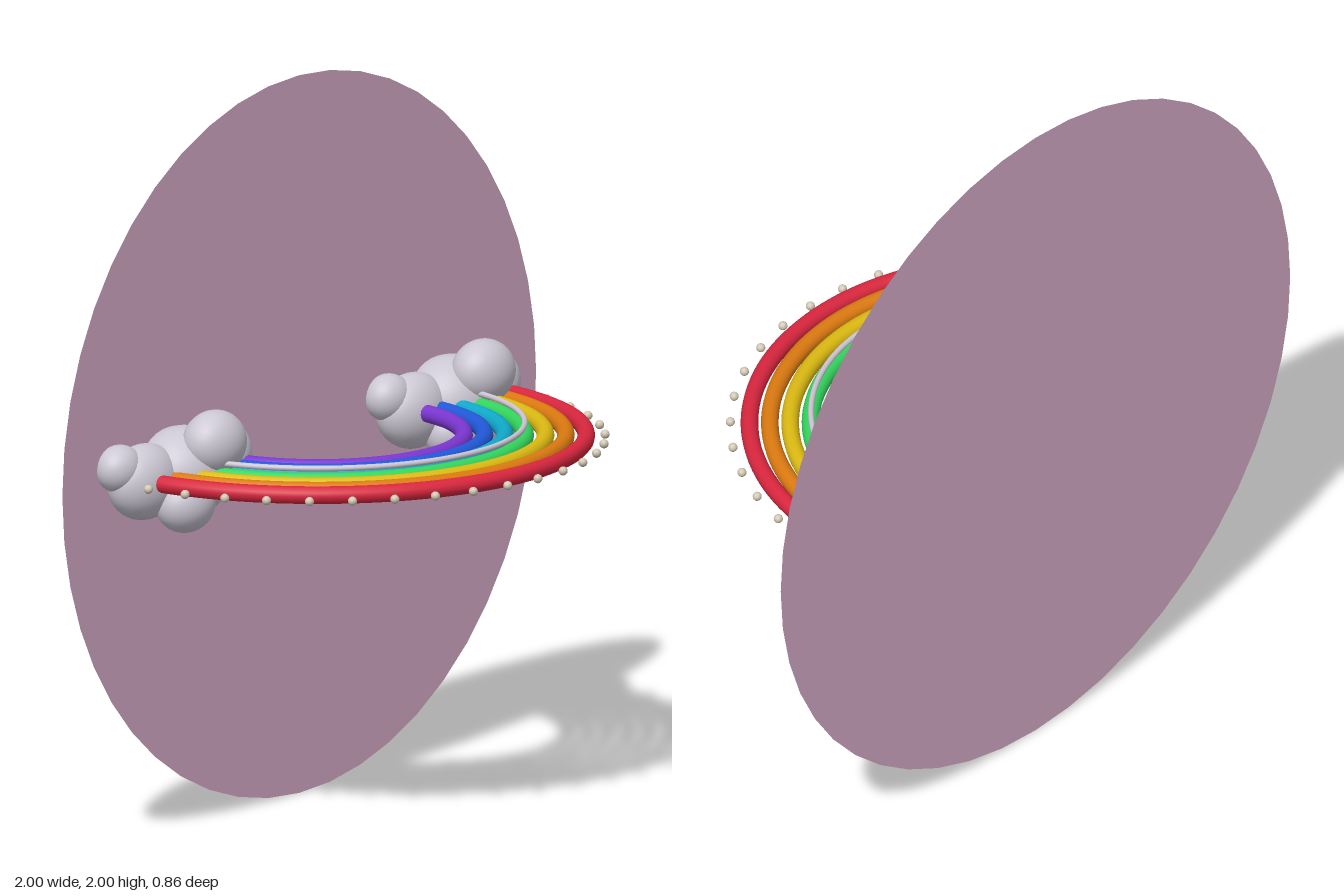
import * as THREE from 'three';

const BACK = -0.43; // plane of the backing disc
const ARC_Z = -0.365; // centre of the rainbow arcs
const HALF_ARC = 1.5; // arcs run from -1.5 to 1.5 radians

const mat = (name, color, side = THREE.FrontSide) => {
  const m = new THREE.MeshStandardMaterial({ color, side });
  m.name = name;
  return m;
};

function mesh(name, geometry, material) {
  const m = new THREE.Mesh(geometry, material);
  m.name = name;
  return m;
}

// Horizontal tube bent along an arc, with flat end caps
function arcTube(name, radius, tube, y, material) {
  const g = new THREE.Group();
  g.name = name;
  g.position.set(0, y, ARC_Z);
  const torus = new THREE.TorusGeometry(radius, tube, 14, 72, 2 * HALF_ARC);
  torus.rotateZ(Math.PI / 2 - HALF_ARC).rotateX(Math.PI / 2);
  g.add(mesh(name + 'Arc', torus, material));
  for (const s of [-1, 1]) {
    const a = s * HALF_ARC;
    const cap = mesh(name + 'Cap', new THREE.CircleGeometry(tube, 14), material);
    cap.position.set(radius * Math.sin(a), 0, radius * Math.cos(a));
    cap.rotation.y = a + s * Math.PI / 2;
    g.add(cap);
  }
  return g;
}

// Ellipsoid puff cut flat where it meets the disc
function puff(x, y, z, rx, ry, rz, material) {
  const geo = new THREE.SphereGeometry(1, 32, 24);
  geo.rotateX(Math.PI / 2).scale(rx, ry, rz).translate(x, y, z);
  const p = geo.attributes.position;
  for (let i = 0; i < p.count; i++) p.setZ(i, Math.max(p.getZ(i), BACK + 0.002));
  return mesh('cloudPuff', geo, material);
}

export function createModel() {
  const model = new THREE.Group();
  model.name = 'rainbowDisc';
  const cloudMat = mat('cloud grey', 0xcbc7d3);
  const pearlMat = mat('pearl', 0xd2c8b4);
  const discMat = mat('dusty pink', 0xd0a6c2, THREE.DoubleSide);

  // Round backing disc
  const disc = mesh('backingDisc', new THREE.CircleGeometry(1, 48), discMat);
  disc.position.set(0, 1, BACK);
  model.add(disc);

  // Seven rainbow bands, outermost first
  const bands = [
    ['red', 0xd9263e], ['orange', 0xdc7a10], ['yellow', 0xdcba12], ['green', 0x34d65e],
    ['cyan', 0x10aacb], ['blue', 0x2259da], ['violet', 0x7c36d2],
  ];
  bands.forEach(([name, color], i) => {
    model.add(arcTube(name + 'Band', 0.73 - i * 0.0553, 0.024, 1.006, mat(name, color)));
  });

  // Thin rail lying above the green band
  model.add(arcTube('thinRail', 0.563, 0.008, 1.042, cloudMat));

  // Beads around the outer edge
  const beadGeo = new THREE.SphereGeometry(0.0125, 14, 10);
  for (let i = -10; i <= 10; i++) {
    const a = i * HALF_ARC / 10;
    const bead = mesh('bead', beadGeo, pearlMat);
    bead.position.set(0.782 * Math.sin(a), 1, ARC_Z + 0.782 * Math.cos(a));
    model.add(bead);
  }

  // Matching clouds at both ends: x, y, z, then radii
  const puffs = [
    [0.045, 1.088, -0.292, 0.1, 0.09, 0.08],
    [-0.062, 0.935, -0.305, 0.092, 0.08, 0.075],
    [-0.222, 1.045, -0.405, 0.072, 0.066, 0.062],
    [-0.14, 0.998, -0.385, 0.122, 0.105, 0.085],
    [0.01, 1.0, -0.375, 0.145, 0.128, 0.13],
    [0.165, 1.03, -0.375, 0.088, 0.095, 0.09],
    [0.218, 0.955, -0.405, 0.066, 0.06, 0.058],
  ];
  for (const [name, x] of [['rightCloud', -0.5675], ['leftCloud', 0.5675]]) {
    const cloud = new THREE.Group();
    cloud.name = name;
    cloud.position.x = x;
    puffs.forEach((p) => cloud.add(puff(...p, cloudMat)));
    model.add(cloud);
  }
  return model;
}
